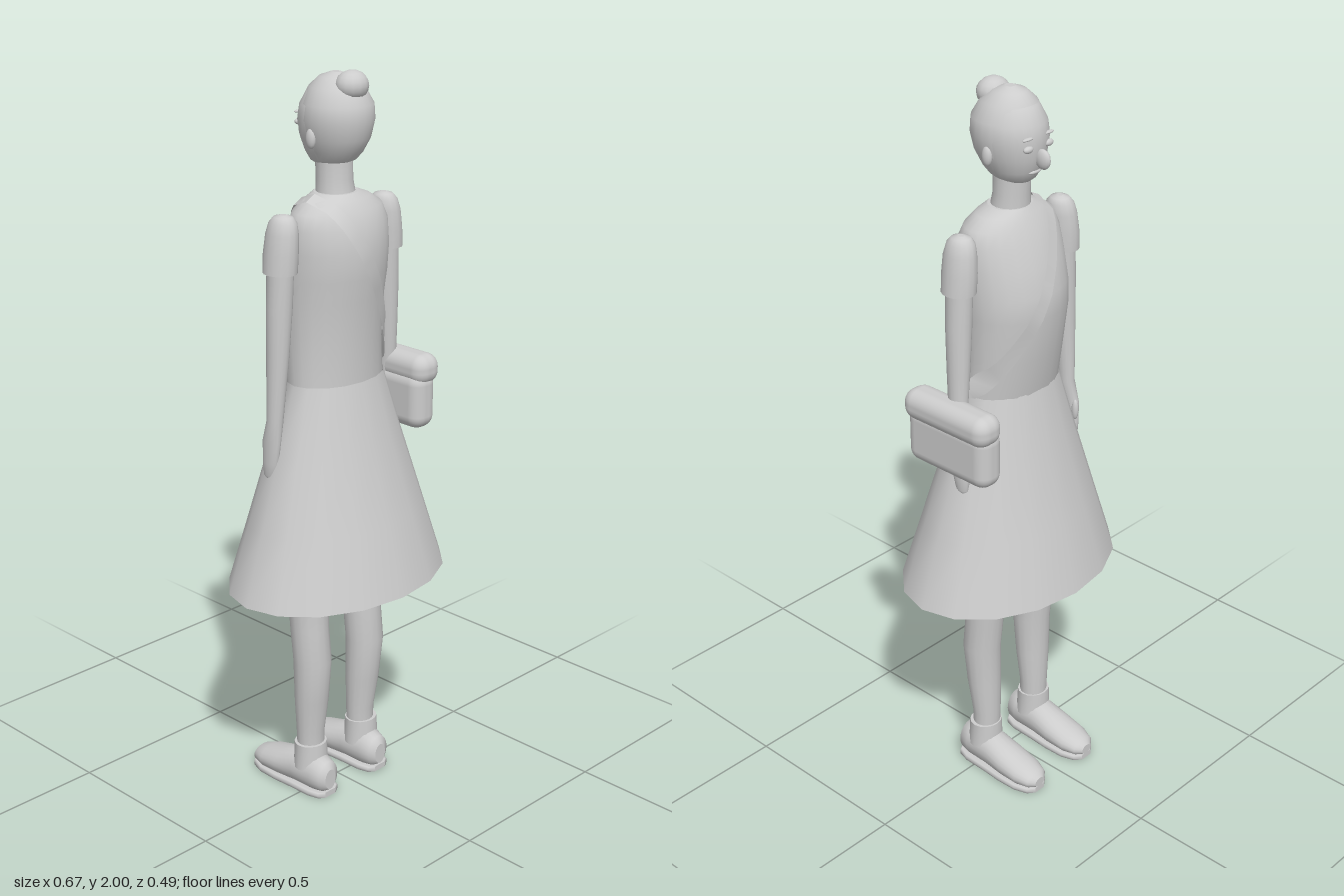
import * as THREE from 'three';
import { RoundedBoxGeometry } from 'three/addons/geometries/RoundedBoxGeometry.js';

const grey = new THREE.MeshStandardMaterial({ color: 0xcccccc });
grey.name = 'plain grey';
const greyOpen = grey.clone();
greyOpen.side = THREE.DoubleSide;

// Skin over elliptical rings [x, y, z, radiusX, radiusZ], listed bottom to top
function loft(rings, sides = 16, caps = true) {
  const pos = [], index = [];
  const addRing = ([x, y, z, rx, rz]) => {
    for (let j = 0; j < sides; j++) {
      const a = (j / sides) * Math.PI * 2;
      pos.push(x + rx * Math.cos(a), y, z + rz * Math.sin(a));
    }
  };
  rings.forEach(addRing);
  for (let i = 0; i < rings.length - 1; i++) {
    for (let j = 0; j < sides; j++) {
      const a = i * sides + j, b = i * sides + (j + 1) % sides;
      index.push(a, a + sides, b, b, a + sides, b + sides);
    }
  }
  if (caps) {
    [rings[0], rings[rings.length - 1]].forEach((ring, top) => {
      const start = pos.length / 3;
      addRing(ring);
      pos.push(ring[0], ring[1], ring[2]);
      for (let j = 0; j < sides; j++) {
        const a = start + j, b = start + (j + 1) % sides;
        index.push(start + sides, top ? b : a, top ? a : b);
      }
    });
  }
  const g = new THREE.BufferGeometry();
  g.setAttribute('position', new THREE.Float32BufferAttribute(pos, 3));
  g.setIndex(index);
  g.computeVertexNormals();
  return g;
}

// Loft running toward the toes, with heights limited to a flat band
function footLoft(rings, low, high) {
  const g = loft(rings, 20).rotateX(-Math.PI / 2);
  const p = g.attributes.position;
  for (let i = 0; i < p.count; i++) p.setY(i, THREE.MathUtils.clamp(p.getY(i), low, high));
  g.computeVertexNormals();
  return g;
}

const torsoRings = [
  [0, 1.19, -0.008, 0.147, 0.1], [0, 1.3, -0.018, 0.146, 0.11],
  [0, 1.42, -0.022, 0.151, 0.124], [0, 1.48, -0.016, 0.154, 0.127],
  [0, 1.55, -0.006, 0.155, 0.12], [0, 1.61, 0, 0.152, 0.104],
  [0, 1.65, 0, 0.138, 0.085], [0, 1.675, -0.002, 0.1, 0.068], [0, 1.69, -0.005, 0.06, 0.055],
];

// Depth of the torso surface at x, y on the given side (+1 back, -1 face side)
function torsoZ(x, y, side) {
  let i = 0;
  while (i < torsoRings.length - 2 && torsoRings[i + 1][1] < y) i++;
  const a = torsoRings[i], b = torsoRings[i + 1];
  const t = THREE.MathUtils.clamp((y - a[1]) / (b[1] - a[1]), 0, 1);
  const mix = k => THREE.MathUtils.lerp(a[k], b[k], t);
  const u = x / (mix(3) * 1.06);
  return mix(2) + side * (mix(4) + 0.006) * Math.sqrt(Math.max(0, 1 - u * u));
}

// Diagonal ribbon lying on the torso
function strap(side) {
  const pos = [], index = [], steps = 24;
  for (let i = 0; i <= steps; i++) {
    const t = i / steps;
    const x = -0.092 + 0.262 * t, y = 1.685 - 0.475 * t;
    for (const w of [-1, 1]) {
      const px = x + w * 0.016, py = y + w * 0.008;
      pos.push(px, py, torsoZ(px, py, side));
    }
    if (i < steps) {
      const a = i * 2;
      if (side > 0) index.push(a, a + 2, a + 1, a + 1, a + 2, a + 3);
      else index.push(a, a + 1, a + 2, a + 1, a + 3, a + 2);
    }
  }
  const g = new THREE.BufferGeometry();
  g.setAttribute('position', new THREE.Float32BufferAttribute(pos, 3));
  g.setIndex(index);
  g.computeVertexNormals();
  return g;
}

export function createModel() {
  const model = new THREE.Group();
  model.name = 'woman with shoulder bag';
  const add = (name, geometry, material = grey) => {
    const m = new THREE.Mesh(geometry, material);
    m.name = name;
    model.add(m);
    return m;
  };
  const blob = (name, x, y, z, rx, ry, rz) =>
    add(name, new THREE.SphereGeometry(1, 14, 10).scale(rx, ry, rz).translate(x, y, z));

  // Dress
  add('bodice', loft(torsoRings, 24));
  add('skirt', loft([
    [0, 0.633, -0.001, 0.337, 0.246], [0, 0.82, -0.003, 0.276, 0.194],
    [0, 1.02, -0.006, 0.21, 0.14], [0, 1.2, -0.008, 0.15, 0.102],
  ], 16, false), greyOpen);

  // Head, hair and face
  add('neck', loft([
    [0, 1.67, -0.005, 0.054, 0.052], [0, 1.72, -0.01, 0.049, 0.046], [0, 1.79, -0.012, 0.049, 0.048],
  ]));
  const headRings = [
    [0, 1.758, -0.025, 0.035, 0.04], [0, 1.768, -0.02, 0.052, 0.058],
    [0, 1.79, -0.016, 0.066, 0.074], [0, 1.825, -0.012, 0.08, 0.09],
    [0, 1.87, -0.01, 0.09, 0.097], [0, 1.91, -0.008, 0.086, 0.093],
    [0, 1.95, -0.006, 0.066, 0.074], [0, 1.975, -0.004, 0.04, 0.045], [0, 1.986, -0.002, 0.012, 0.014],
  ];
  add('head', loft(headRings, 24));
  add('hair', loft(headRings.slice(1).map(([x, y, z, rx, rz]) =>
    [x, y + 0.004, z + 0.011 - Math.max(0, y - 1.91) * 0.17, rx * 1.035, rz * 0.99]), 24));
  blob('hairBun', 0, 1.962, 0.051, 0.045, 0.038, 0.041);
  blob('nose', 0, 1.828, -0.113, 0.012, 0.026, 0.024);
  blob('mouth', 0, 1.79, -0.086, 0.022, 0.006, 0.008);
  for (const s of [1, -1]) {
    blob('ear', s * 0.085, 1.833, -0.008, 0.011, 0.026, 0.015);
    blob('eye', s * 0.036, 1.858, -0.098, 0.016, 0.009, 0.009);
    blob('eyebrow', s * 0.037, 1.884, -0.097, 0.019, 0.004, 0.007);
  }

  // Arms, sleeves, legs and shoes, one set per side
  for (const s of [1, -1]) {
    const mirror = rings => rings.map(([x, y, z, rx, rz]) => [s * x, y, z, rx, rz]);
    add('arm', loft(mirror([
      [0.212, 0.955, -0.036, 0.008, 0.012], [0.213, 0.965, -0.035, 0.012, 0.02],
      [0.213, 1.0, -0.032, 0.015, 0.026], [0.212, 1.06, -0.028, 0.017, 0.03],
      [0.209, 1.12, -0.018, 0.021, 0.023], [0.2, 1.3, -0.014, 0.029, 0.031],
      [0.195, 1.42, -0.012, 0.034, 0.034], [0.19, 1.55, -0.011, 0.034, 0.036],
    ])));
    blob('thumb', s * 0.205, 1.04, -0.054, 0.009, 0.03, 0.01);
    add('sleeve', loft(mirror([
      [0.192, 1.51, -0.011, 0.042, 0.047], [0.189, 1.56, -0.011, 0.042, 0.048],
      [0.185, 1.61, -0.01, 0.039, 0.045], [0.182, 1.638, -0.01, 0.034, 0.038],
      [0.181, 1.652, -0.01, 0.024, 0.026], [0.181, 1.657, -0.01, 0.008, 0.009],
    ])));
    add('leg', loft(mirror([
      [0.098, 0.1, -0.006, 0.038, 0.036], [0.098, 0.18, -0.007, 0.041, 0.037],
      [0.1, 0.28, 0, 0.049, 0.045], [0.102, 0.4, 0.006, 0.053, 0.052],
      [0.102, 0.5, -0.005, 0.053, 0.053], [0.102, 0.64, -0.012, 0.056, 0.058],
      [0.095, 0.9, -0.01, 0.064, 0.07], [0.08, 1.1, -0.008, 0.06, 0.07],
    ])));
    add('ankleCuff', loft(mirror([
      [0.1, 0.07, -0.004, 0.05, 0.046], [0.1, 0.145, -0.005, 0.047, 0.043],
    ])));
    const shoe = mirror([
      [0.1, -0.073, 0.05, 0.02, 0.03], [0.1, -0.062, 0.055, 0.038, 0.046],
      [0.1, -0.03, 0.058, 0.047, 0.055], [0.1, 0.04, 0.056, 0.049, 0.053],
      [0.1, 0.1, 0.045, 0.053, 0.043], [0.1, 0.16, 0.037, 0.051, 0.034],
      [0.1, 0.198, 0.032, 0.038, 0.024], [0.1, 0.213, 0.028, 0.018, 0.014],
    ]);
    add('shoe', footLoft(shoe, 0.014, 0.12));
    add('sole', footLoft(shoe.map(([x, l, , rx]) => [x, l, 0.008, rx * 1.03, 0.05]), 0, 0.016));
  }

  // Shoulder bag hanging on the hip
  add('bagBody', new RoundedBoxGeometry(0.083, 0.16, 0.28, 4, 0.036)).position.set(0.223, 1.096, -0.019);
  add('bagFlap', new RoundedBoxGeometry(0.09, 0.085, 0.292, 4, 0.037)).position.set(0.231, 1.181, -0.019);
  add('strapBack', strap(1), greyOpen);
  add('strapFront', strap(-1), greyOpen);

  return model;
}
